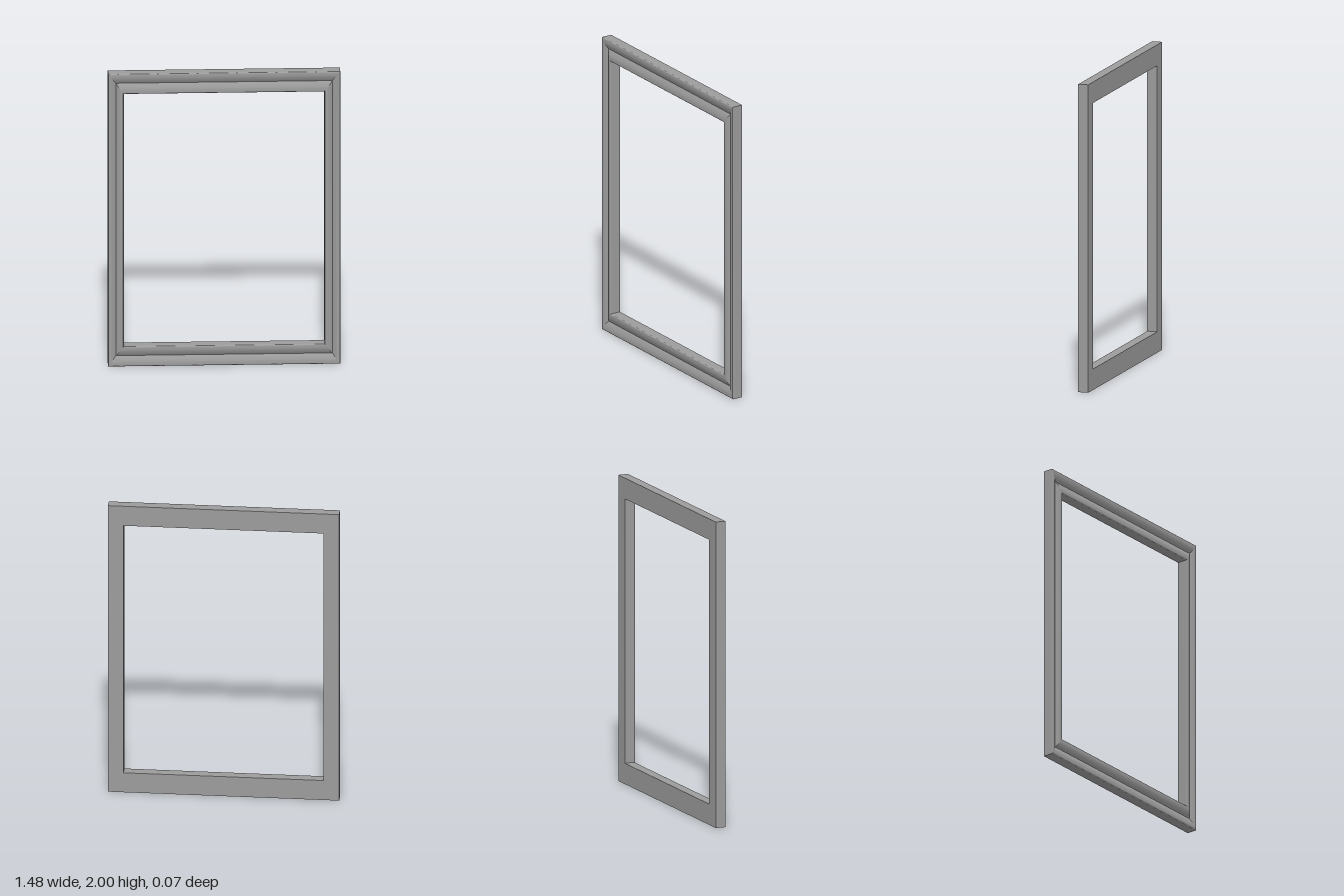
import * as THREE from 'three';
import { toCreasedNormals } from 'three/addons/utils/BufferGeometryUtils.js';

const HALF_W = 0.74, HALF_H = 1;      // outer half size
const RAIL_W = 0.1, RAIL_H = 0.136;   // side and top/bottom rail widths
const DEPTH = 0.036;                  // half thickness
const STEPS = 10;

// One bead as [u, z]: rounded shoulder at the frame edge (u = 0), then a
// convex fall to the groove (u = 1)
function beadProfile() {
  const peak = 0.13, shoulder = 0.007, groove = 0.02;
  const points = [];
  for (let i = 0; i < STEPS; i++) {
    const angle = (i / STEPS) * Math.PI / 2;
    points.push([peak * (1 - Math.cos(angle)), DEPTH - shoulder * (1 - Math.sin(angle))]);
  }
  for (let i = 0; i <= STEPS; i++) {
    const s = i / STEPS;
    points.push([peak + (1 - peak) * s, DEPTH - groove * s * s]);
  }
  return points;
}

// Rail cross-section as [t, z], t running from the outer to the inner edge
function railProfile() {
  const bead = beadProfile();
  const outer = bead.map(([u, z]) => [u / 2, z]);
  const inner = bead.slice(0, -1).reverse().map(([u, z]) => [1 - u / 2, z]);
  return [[0, -DEPTH], ...outer, ...inner, [1, -DEPTH]];
}

// Sweeps the cross-section around the four mitred corners
function mouldingGeometry() {
  const corners = [[1, 1], [-1, 1], [-1, -1], [1, -1]];
  const profile = railProfile();
  const positions = [];
  const at = ([t, z], [sx, sy]) =>
    [sx * (HALF_W - RAIL_W * t), HALF_H + sy * (HALF_H - RAIL_H * t), z];

  corners.forEach((corner, k) => {
    const next = corners[(k + 1) % 4];
    profile.forEach((p, i) => {
      const q = profile[(i + 1) % profile.length];
      const a = at(p, corner), b = at(p, next), c = at(q, next), d = at(q, corner);
      positions.push(...a, ...b, ...c, ...a, ...c, ...d);
    });
  });

  const geometry = new THREE.BufferGeometry();
  geometry.setAttribute('position', new THREE.Float32BufferAttribute(positions, 3));
  return toCreasedNormals(geometry, 0.35);
}

export function createModel() {
  const group = new THREE.Group();
  group.name = 'pictureFrame';
  const moulding = new THREE.Mesh(
    mouldingGeometry(),
    new THREE.MeshStandardMaterial({ color: 0x9c9c9c })
  );
  moulding.name = 'frameMoulding';
  group.add(moulding);
  return group;
}
